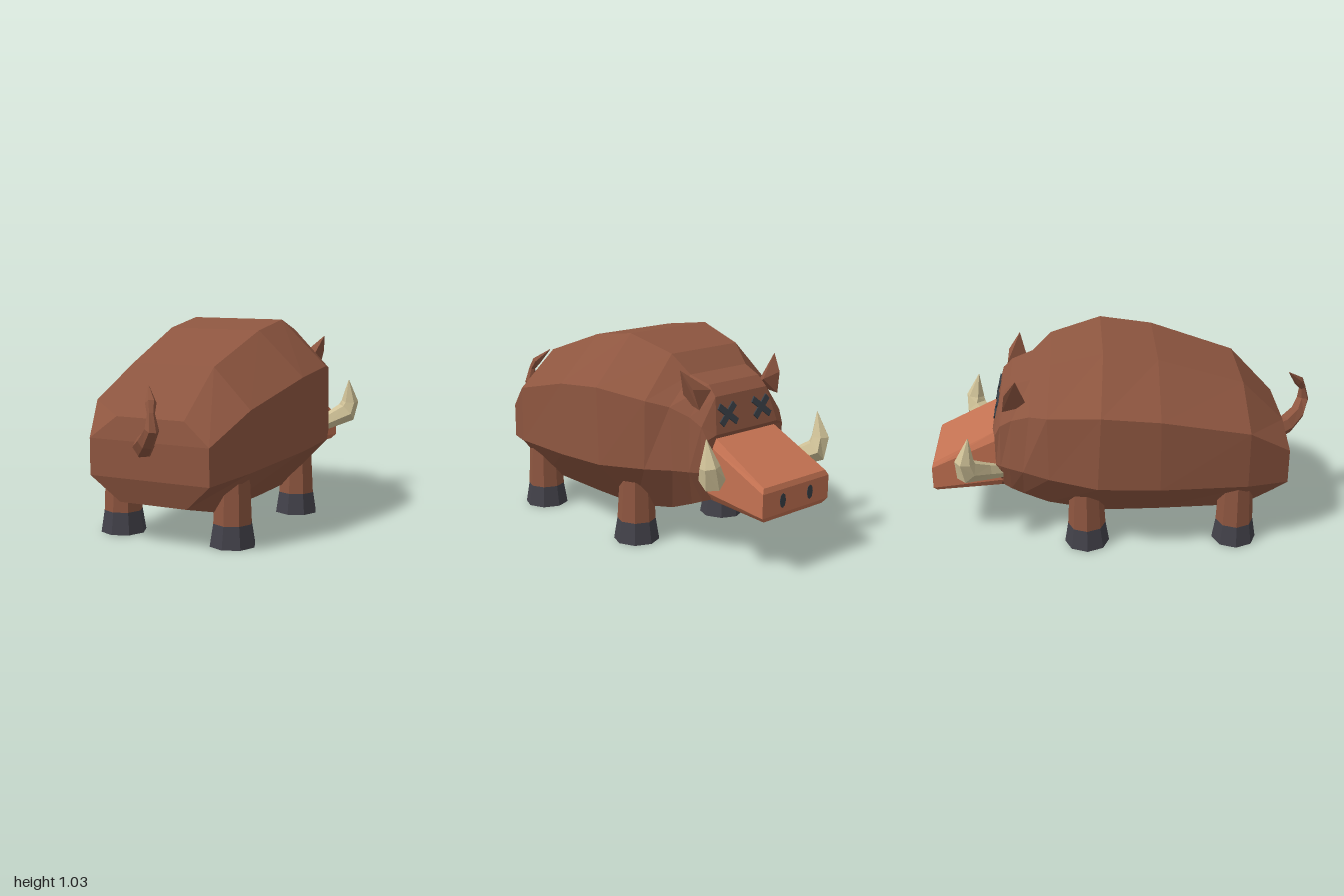
import * as THREE from 'three';
import { ConvexGeometry } from 'three/addons/geometries/ConvexGeometry.js';

const V = (x, y, z) => new THREE.Vector3(x, y, z);

function material(name, color) {
  const m = new THREE.MeshStandardMaterial({ color, flatShading: true });
  m.name = name;
  return m;
}

// Skin a list of equal-sized rings, closing both ends with flat strips
function loft(rings) {
  const pos = [];
  const quad = (a, b, c, d) => {
    for (const p of [a, b, c, a, c, d]) pos.push(p.x, p.y, p.z);
  };
  const n = rings[0].length;
  for (let r = 0; r < rings.length - 1; r++) {
    const A = rings[r], B = rings[r + 1];
    for (let i = 0; i < n; i++) {
      const j = (i + 1) % n;
      quad(A[i], B[i], B[j], A[j]);
    }
  }
  const first = rings[0], last = rings[rings.length - 1];
  for (let k = 0; k < (n - 2) / 2; k++) {
    const s = [(n - k) % n, k + 1, k + 2, n - k - 1];
    quad(...s.map((i) => first[i]));
    quad(...s.reverse().map((i) => last[i]));
  }
  const g = new THREE.BufferGeometry();
  g.setAttribute('position', new THREE.Float32BufferAttribute(pos, 3));
  g.computeVertexNormals();
  return g;
}

// Symmetric eight-sided ring from its top, upper, lower and bottom corners
function octagon([t, u, l, b]) {
  const R = (p) => V(p[0], p[1], p[2]), L = (p) => V(-p[0], p[1], p[2]);
  return [R(t), L(t), L(u), L(l), L(b), R(b), R(l), R(u)];
}

// Curved spike: points are [x, y, z, radius], ref lies across the bend
function spike(points, ref, sides) {
  const p = points.map((q) => V(q[0], q[1], q[2]));
  return loft(p.map((c, i) => {
    const t = p[Math.min(i + 1, p.length - 1)].clone().sub(p[Math.max(i - 1, 0)]).normalize();
    const a = ref.clone().addScaledVector(t, -ref.dot(t)).normalize();
    const b = a.clone().cross(t);
    return Array.from({ length: sides }, (_, k) => {
      const w = (k / sides) * Math.PI * 2;
      return c.clone().addScaledVector(a, Math.cos(w) * points[i][3])
        .addScaledVector(b, Math.sin(w) * points[i][3]);
    });
  }));
}

export function createModel() {
  const model = new THREE.Group();
  const hide = material('brown hide', 0x8e5640);
  const snoutSkin = material('light snout', 0xc47252);
  const hoofMat = material('dark hoof', 0x424149);
  const ivory = material('ivory', 0xcfc197);
  const dark = material('dark face marks', 0x3a4047);

  const add = (name, geometry, mat, parent = model) => {
    const m = new THREE.Mesh(geometry, mat);
    m.name = name;
    parent.add(m);
    return m;
  };

  // Barrel body and head, from rump to face
  add('body', loft([
    [[.18, .62, .80], [.32, .51, .82], [.32, .33, .82], [.18, .205, .78]],
    [[.22, .85, .58], [.42, .66, .60], [.42, .365, .60], [.25, .16, .60]],
    [[.25, .995, .15], [.49, .77, .15], [.495, .40, .15], [.25, .15, .15]],
    [[.255, 1.035, -.12], [.495, .80, -.14], [.50, .415, -.16], [.25, .15, -.15]],
    [[.22, .965, -.38], [.41, .765, -.40], [.415, .43, -.40], [.24, .20, -.41]],
    [[.19, .875, -.48], [.335, .74, -.49], [.35, .44, -.53], [.23, .25, -.54]],
    [[.17, .84, -.585], [.29, .70, -.58], [.31, .44, -.60], [.22, .275, -.60]],
    [[.175, .79, -.635], [.27, .66, -.64], [.28, .44, -.645], [.20, .29, -.64]],
    [[.21, .62, -.68], [.26, .60, -.67], [.26, .44, -.67], [.20, .29, -.65]],
  ].map(octagon)), hide);

  // Wedge snout
  add('snout', loft([
    [[.20, .615, -.64], [.225, .57, -.64], [.225, .33, -.64], [.19, .285, -.63]],
    [[.215, .435, -.99], [.23, .41, -1], [.23, .295, -1], [.205, .27, -.985]],
  ].map(octagon)), snoutSkin);

  // Curled tail
  add('tail', spike([
    [-.04, .48, .78, .055], [0, .50, .86, .05], [.06, .54, .93, .042],
    [.11, .60, .965, .033], [.10, .67, .955, .018], [.085, .715, .93, .026],
    [.035, .785, .865, .002],
  ], V(.8, 0, -.6), 6), hide);

  for (const s of [1, -1]) {
    const side = s > 0 ? 'left' : 'right';

    // Legs and hooves
    for (const [end, z, top] of [['front', -.215, .32], ['rear', .555, .37]]) {
      const leg = new THREE.Group();
      leg.name = `${side} ${end} leg`;
      leg.position.set(s * .305, 0, z);
      model.add(leg);
      add('shin', new THREE.CylinderGeometry(.085, .097, top - .11, 8), hide, leg)
        .position.y = (top + .11) / 2;
      add('hoof', new THREE.CylinderGeometry(.097, .115, .11, 8), hoofMat, leg)
        .position.y = .055;
    }

    // Ears
    add(`${side} ear`, new ConvexGeometry([
      V(s * .325, .925, -.55), V(s * .18, .82, -.61), V(s * .27, .74, -.625),
      V(s * .25, .76, -.50), V(s * .30, .84, -.61),
    ]), hide);

    // Upturned tusks
    add(`${side} tusk`, spike([
      [s * .20, .37, -.62, .03], [s * .28, .415, -.72, .045],
      [s * .365, .465, -.81, .062], [s * .385, .53, -.815, .048],
      [s * .385, .655, -.79, .002],
    ], V(s * .75, 0, .65), 6), ivory);

    // Crossed eyes lying on the sloping face
    const eye = new THREE.Group();
    eye.name = `${side} eye`;
    eye.position.set(s * .115, .703, -.661);
    eye.lookAt(s * .115, .703 + .235, -.661 - .97);
    model.add(eye);
    for (const tilt of [.7, -.7]) {
      add('eye bar', new THREE.BoxGeometry(.135, .032, .009), dark, eye).rotation.z = tilt;
    }

    // Nostrils
    const nostril = add(`${side} nostril`, new THREE.CylinderGeometry(.02, .02, .006, 8), dark);
    nostril.rotation.x = Math.PI / 2;
    nostril.scale.z = 1.8;
    nostril.position.set(s * .095, .355, -.999);
  }
  return model;
}
